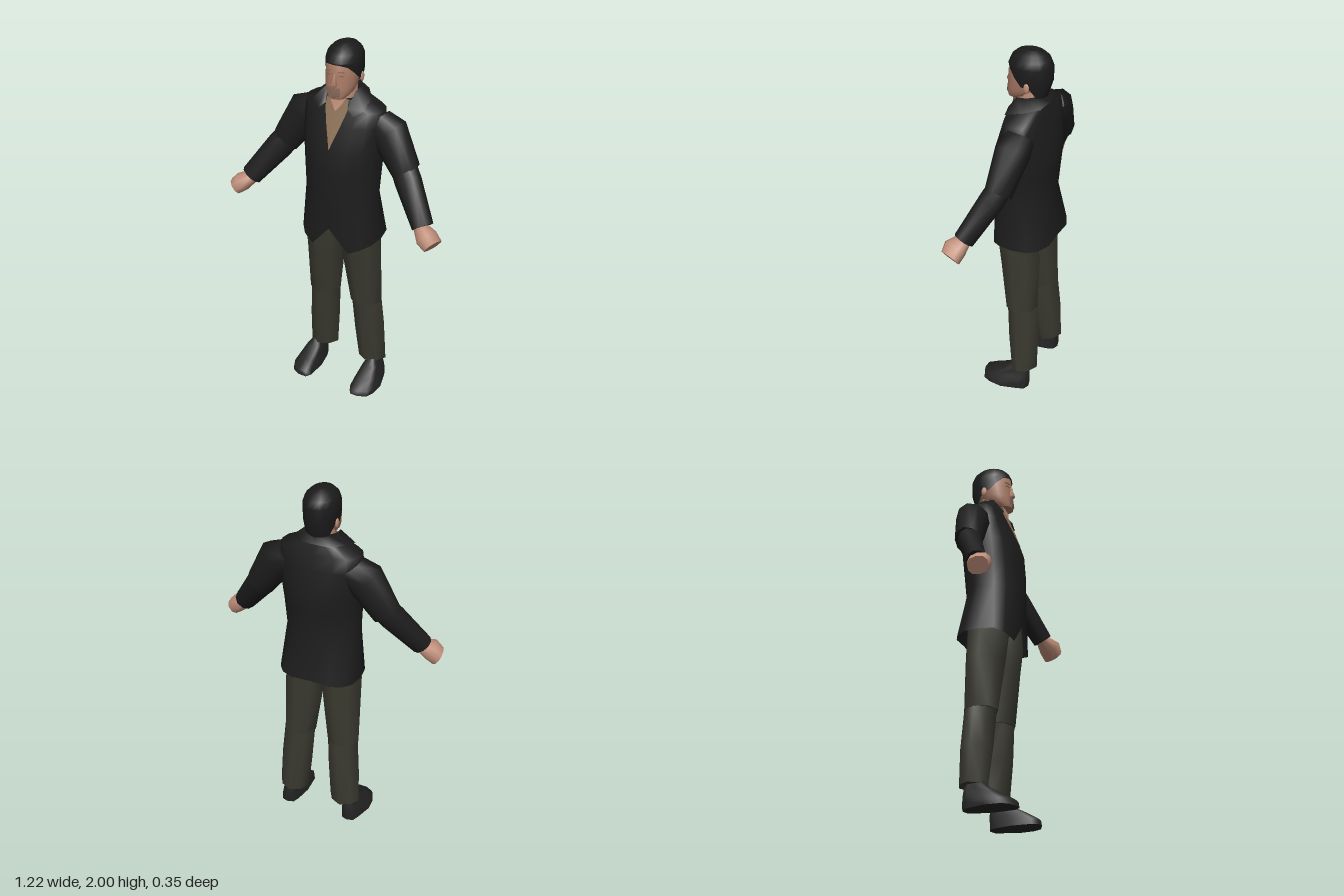
import * as THREE from 'three';

const mat = (name, color, side = THREE.FrontSide) => {
  const m = new THREE.MeshStandardMaterial({ color, side });
  m.name = name;
  return m;
};

// Horizontal superellipse ring; lift[i] can override y, back > 1 flattens the rear
function ring([y, rx, zf, zb, cx = 0], n = 16, p = 1, lift = null, back = 1) {
  const pw = v => Math.sign(v) * Math.abs(v) ** p;
  return Array.from({ length: n }, (_, i) => {
    const a = (i / n) * Math.PI * 2;
    const s = pw(Math.sin(a));
    return [cx + rx * pw(Math.cos(a)), lift ? lift[i] : y,
      (zf + zb) / 2 + ((zf - zb) / 2) * (s < 0 ? Math.max(-1, s * back) : s)];
  });
}

// Rings [x, y, z, half width, half depth] across a limb's axis
function limbRings(rows, p, n = 10) {
  const at = r => new THREE.Vector3(r[0], r[1], r[2]);
  const T = at(rows[rows.length - 1]).sub(at(rows[0])).normalize();
  const u = T.clone().cross(new THREE.Vector3(0, 0, 1)).normalize();
  const w = u.clone().cross(T);
  const pw = v => Math.sign(v) * Math.abs(v) ** p;
  return rows.map(r => Array.from({ length: n }, (_, i) => {
    const a = (i / n) * Math.PI * 2;
    return at(r).addScaledVector(u, r[3] * pw(Math.cos(a)))
      .addScaledVector(w, r[4] * pw(Math.sin(a))).toArray();
  }));
}

// Surface over rows of points; side = -1 mirrors it in x
function loft(rows, { side = 1, closed = true, start = false, end = false } = {}) {
  const n = rows[0].length, pos = [], idx = [];
  const put = q => { pos.push(q[0] * side, q[1], q[2]); return pos.length / 3 - 1; };
  const tri = (a, b, c) => (side > 0 ? idx.push(a, b, c) : idx.push(a, c, b));
  rows.forEach(r => r.forEach(put));
  for (let r = 0; r < rows.length - 1; r++) {
    for (let i = 0; i < (closed ? n : n - 1); i++) {
      const a = r * n + i, b = r * n + (i + 1) % n;
      tri(a, a + n, b);
      tri(b, a + n, b + n);
    }
  }
  const cap = (r, top) => {
    const base = pos.length / 3;
    r.forEach(put);
    const c = put([0, 1, 2].map(k => r.reduce((s, q) => s + q[k], 0) / n));
    for (let i = 0; i < n; i++) {
      const a = base + i, b = base + (i + 1) % n;
      if (top) tri(c, b, a); else tri(c, a, b);
    }
  };
  if (start) cap(rows[0], false);
  if (end) cap(rows[rows.length - 1], true);
  const g = new THREE.BufferGeometry();
  g.setAttribute('position', new THREE.Float32BufferAttribute(pos, 3));
  g.setIndex(idx);
  g.computeVertexNormals();
  return g;
}

export function createModel() {
  const model = new THREE.Group();
  const D = THREE.DoubleSide;
  const jacket = mat('jacket black', 0x1d1d1d, D);
  const trousers = mat('trouser olive', 0x39392f, D);
  const shirt = mat('shirt tan', 0x8a6e54, D);
  const skin = mat('skin', 0xbe8d78, D);
  const face = mat('face skin', 0xa87964);
  const stubble = mat('stubble', 0x87685b, D);
  const hair = mat('hair black', 0x1b1b1b, D);
  const shoe = mat('shoe charcoal', 0x242425);
  const add = (name, geo, m) => {
    const mesh = new THREE.Mesh(geo, m);
    mesh.name = name;
    model.add(mesh);
    return mesh;
  };
  // Values for a 16 point ring from nine values running front to back
  const around = v => Array.from({ length: 16 }, (_, i) => {
    const d = Math.abs(i - 4);
    return v[Math.min(d, 16 - d)];
  });

  // Jacket body: rounded waist, squarer shoulders, flared hem with pointed front tips
  const hem = around([1.02, 0.893, 0.92, 0.937, 0.94, 0.943, 0.946, 0.95, 0.958]);
  const body = [[[1.2, 0.2, 0.152, -0.155], 1.05], [[1.35, 0.207, 0.148, -0.167], 1],
    [[1.47, 0.215, 0.137, -0.176], 0.95], [[1.6, 0.217, 0.09, -0.15], 0.8],
    [[1.675, 0.212, 0.06, -0.13], 0.72], [[1.725, 0.11, 0.042, -0.115], 0.8]];
  add('jacketBody', loft([ring([0, 0.218, 0.143, -0.184], 16, 0.75, hem, 1.05),
    ...body.map(([r, p]) => ring(r, 16, p))], { end: true }), jacket);

  // Shirt front and open neck follow the chest slope
  const vPlate = (levels, off) => loft(levels.map(([y, w, z]) =>
    [[w, y, z + off - w * 0.06], [0, y, z + off], [-w, y, z + off - w * 0.06]]), { closed: false });
  add('shirtFront', vPlate([[1.48, 0.001, 0.134], [1.6, 0.04, 0.09],
    [1.675, 0.062, 0.06], [1.73, 0.06, 0.042]], 0.005), shirt);
  add('openNeck', vPlate([[1.665, 0.001, 0.064], [1.7, 0.028, 0.051],
    [1.745, 0.052, 0.042]], 0.009), skin);

  // Turned down jacket collar, its inner face standing against the neck
  const wrap = (pts, back) => [...pts, back, ...pts.slice().reverse().map(q => [-q[0], q[1], q[2]])];
  add('jacketCollar', loft([
    wrap([[0.1, 1.655, 0.07], [0.145, 1.69, 0.045], [0.14, 1.72, -0.045], [0.085, 1.73, -0.118]], [0, 1.735, -0.13]),
    wrap([[0.064, 1.69, 0.066], [0.08, 1.765, 0.012], [0.082, 1.772, -0.04], [0.055, 1.778, -0.085]], [0, 1.78, -0.094]),
    wrap([[0.06, 1.69, 0.055], [0.068, 1.715, 0.01], [0.068, 1.715, -0.04], [0.045, 1.715, -0.075]], [0, 1.715, -0.085]),
  ], { closed: false }), jacket);

  // Neck and head
  add('neck', loft([[1.66, 0.067, 0.045, -0.09], [1.8, 0.062, 0.045, -0.09]].map(r => ring(r, 12))), skin);
  add('head', loft([[1.738, 0.044, 0.092, 0.02], [1.765, 0.067, 0.097, -0.05],
    [1.8, 0.079, 0.092, -0.08], [1.86, 0.085, 0.085, -0.1],
    [1.92, 0.083, 0.082, -0.12], [1.97, 0.06, 0.045, -0.1]].map(r => ring(r)),
  { start: true, end: true }), face);
  add('nose', loft([[1.803, 0.018, 0.094, 0.07], [1.815, 0.02, 0.106, 0.07],
    [1.87, 0.008, 0.086, 0.07]].map(r => ring(r, 8)), { start: true, end: true }), face);
  add('chinStubble', loft([[1.742, 0.026, 0.095], [1.765, 0.036, 0.099], [1.8, 0.034, 0.095]]
    .map(([y, w, z]) => [[w, y, z - 0.01], [0, y, z], [-w, y, z - 0.01]]), { closed: false }), stubble);

  // Hair with sideburns and a low nape
  const hairLine = around([1.918, 1.916, 1.905, 1.87, 1.83, 1.825, 1.772, 1.768, 1.765]);
  const hairMid = hairLine.map(y => (y + 1.925) / 2);
  add('hair', loft([ring([0, 0.088, 0.087, -0.115], 16, 1, hairLine),
    ring([0, 0.091, 0.088, -0.14], 16, 1, hairMid),
    ...[[1.925, 0.091, 0.087, -0.14], [1.96, 0.08, 0.072, -0.126],
      [1.985, 0.056, 0.045, -0.1], [2, 0.022, 0.005, -0.06]].map(r => ring(r))], { end: true }), hair);

  for (const side of [1, -1]) {
    const label = side > 0 ? 'left' : 'right';
    const limb = (name, rows, m, p = 1) =>
      add(label + name, loft(limbRings(rows, p), { side, start: true, end: true }), m);
    const stack = (name, rows, m, p) =>
      add(label + name, loft(rows.map(r => ring(r, 8, p)), { side, start: true, end: true }), m);

    // Ear, eye and brow
    const ear = add(label + 'Ear', new THREE.SphereGeometry(1, 8, 6), skin);
    ear.scale.set(0.009, 0.027, 0.016);
    ear.position.set(side * 0.085, 1.828, -0.042);
    for (const [part, y, w, h] of [['Eye', 1.862, 0.022, 0.006], ['Brow', 1.882, 0.03, 0.004]]) {
      const plate = add(label + part, new THREE.BoxGeometry(w, h, 0.008), stubble);
      plate.position.set(side * 0.036, y, 0.074);
      plate.rotation.y = side * 0.4;
    }

    // Sleeves and hand
    limb('UpperSleeve', [[0.16, 1.61, -0.05, 0.08, 0.072], [0.235, 1.56, -0.047, 0.103, 0.087],
      [0.352, 1.375, -0.025, 0.078, 0.068]], jacket);
    limb('LowerSleeve', [[0.325, 1.41, -0.03, 0.07, 0.06], [0.375, 1.34, 0.0, 0.072, 0.062],
      [0.505, 1.163, 0.085, 0.057, 0.052]], jacket);
    limb('Hand', [[0.485, 1.165, 0.085, 0.03, 0.034], [0.542, 1.128, 0.114, 0.05, 0.06],
      [0.581, 1.093, 0.12, 0.045, 0.053]], skin, 0.85);

    // Trouser leg in two overlapping pieces, nearly diamond shaped in section
    stack('Thigh', [[0.525, 0.091, 0.055, -0.128, 0.126], [0.8, 0.11, 0.09, -0.13, 0.108],
      [0.93, 0.11, 0.107, -0.125, 0.107], [1.06, 0.105, 0.1, -0.12, 0.1]], trousers, 1.18);
    stack('Shin', [[0.13, 0.085, 0.012, -0.14, 0.152], [0.33, 0.09, 0.035, -0.141, 0.14],
      [0.55, 0.088, 0.05, -0.127, 0.125]], trousers, 1.25);

    // Shoe with a narrow heel, its toe edge slanting back to the outside
    const rows = [[0, 0.07, 0.168, -0.105, 0.189], [0.03, 0.068, 0.164, -0.106, 0.189],
      [0.065, 0.058, 0.105, -0.106, 0.185], [0.105, 0.045, 0.035, -0.1, 0.18],
      [0.14, 0.03, 0.0, -0.085, 0.178]].map(r => ring(r, 12, 0.6));
    rows.forEach(r => r.forEach(q => {
      if (q[2] > 0.06) q[2] -= 0.25 * (q[0] - 0.189);
      else if (q[2] < 0) q[0] += (0.17 - q[0]) * 0.25;
    }));
    add(label + 'Shoe', loft(rows, { side, start: true, end: true }), shoe);
  }
  return model;
}
